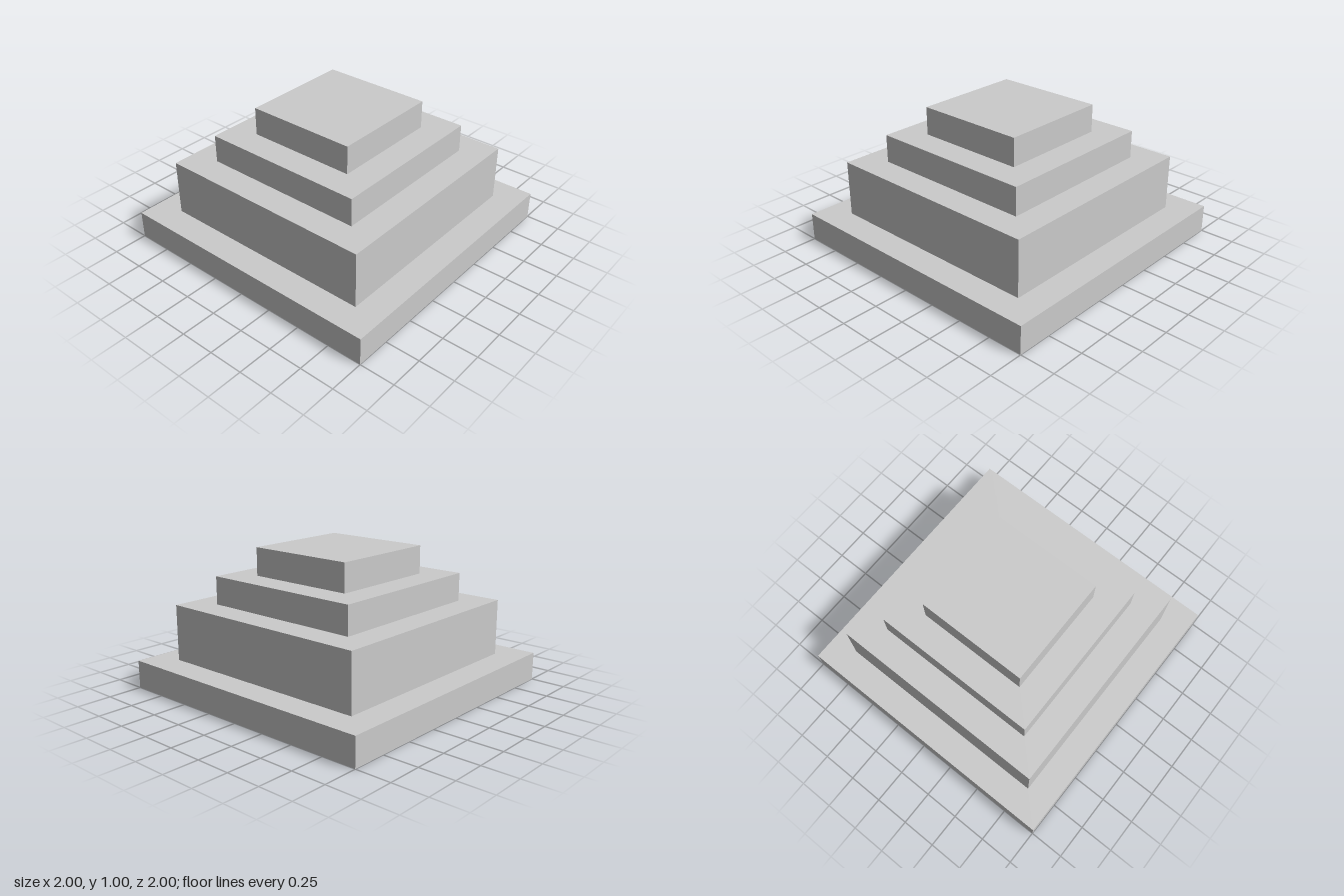
import * as THREE from 'three';

// Square tiers from the ground up: name, width, height
const TIERS = [
  ['baseTier', 2.0, 0.2],
  ['lowerTier', 1.6, 0.4],
  ['upperTier', 1.2, 0.2],
  ['topTier', 0.8, 0.2],
];

export function createModel() {
  const model = new THREE.Group();
  model.name = 'steppedPyramid';
  const material = new THREE.MeshStandardMaterial({ color: 0xcccccc });

  // Stack each tier on the one below
  let y = 0;
  for (const [name, width, height] of TIERS) {
    const tier = new THREE.Mesh(new THREE.BoxGeometry(width, height, width), material);
    tier.name = name;
    tier.position.y = y + height / 2;
    model.add(tier);
    y += height;
  }
  return model;
}
